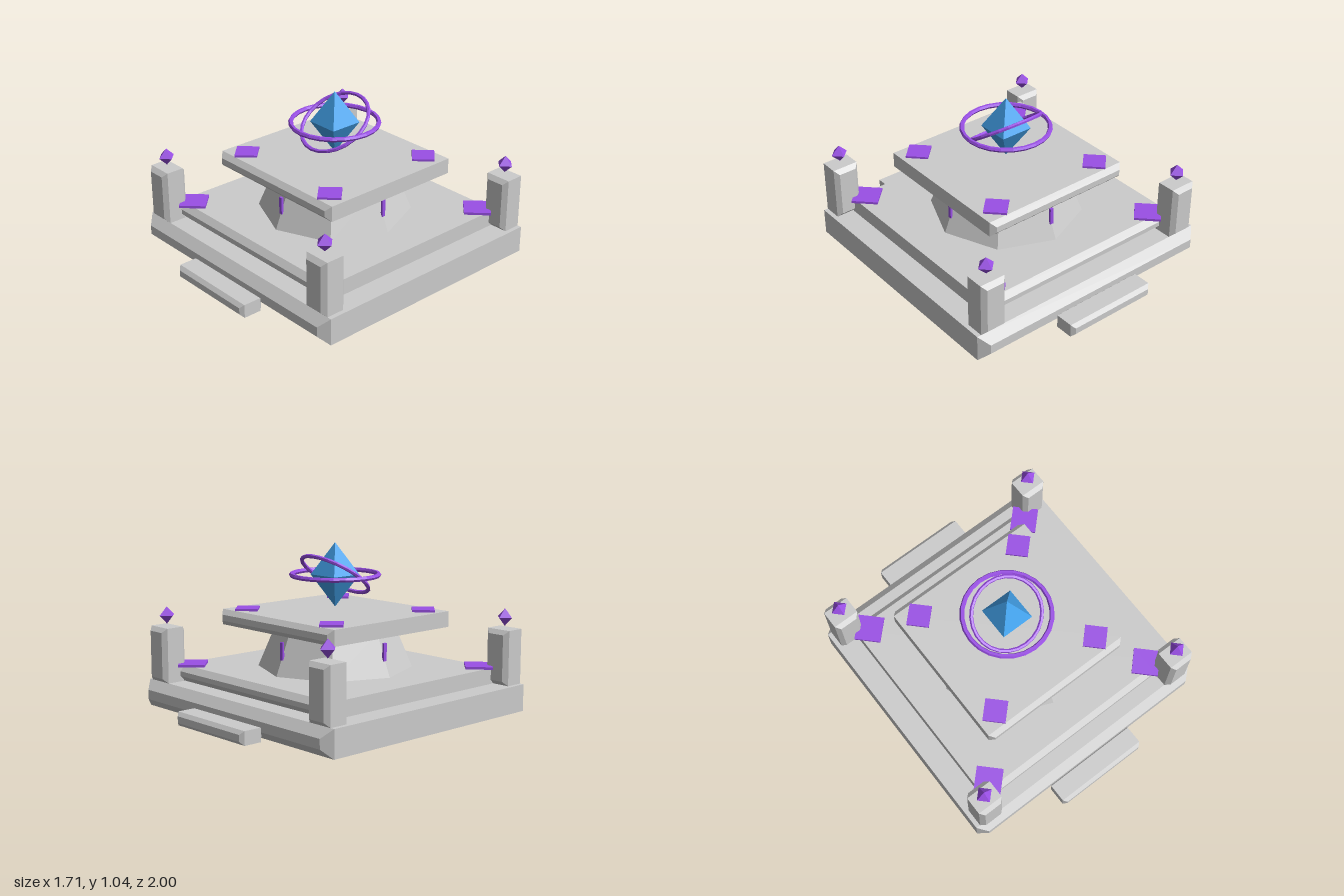
import * as THREE from 'three';

const stone = new THREE.MeshStandardMaterial({ color: 0xcccccc, flatShading: true });
const purple = new THREE.MeshStandardMaterial({ color: 0x9a4fe6, flatShading: true });
const blue = new THREE.MeshStandardMaterial({ color: 0x44a4ee, flatShading: true });

// Block bevelled around its front and back faces only, standing on its base
function bevelBlock(w, h, d, b) {
  const x = w / 2 - b;
  const shape = new THREE.Shape([
    new THREE.Vector2(-x, b), new THREE.Vector2(x, b),
    new THREE.Vector2(x, h - b), new THREE.Vector2(-x, h - b),
  ]);
  const geo = new THREE.ExtrudeGeometry(shape, {
    depth: d - 2 * b, bevelEnabled: true, bevelSegments: 1, bevelSize: b, bevelThickness: b,
  });
  return geo.translate(0, 0, b - d / 2);
}

export function createModel() {
  const model = new THREE.Group();
  model.name = 'crystalAltar';

  function add(name, geo, mat, x = 0, y = 0, z = 0) {
    const mesh = new THREE.Mesh(geo, mat);
    mesh.name = name;
    mesh.position.set(x, y, z);
    model.add(mesh);
    return mesh;
  }

  // Stepped platform
  add('basePlinth', bevelBlock(1.71, 0.17, 1.71, 0.055), stone);
  add('upperPlinth', bevelBlock(1.42, 0.1, 1.42, 0.035), stone, 0, 0.17, 0);

  // Eight-sided pedestal and altar top
  add('pedestal', new THREE.CylinderGeometry(0.37, 0.48, 0.26, 8), stone, 0, 0.4, 0);
  add('altarTop', bevelBlock(1.02, 0.098, 1.02, 0.03), stone, 0, 0.525, 0);

  // Entrance steps, front and back
  const step = bevelBlock(0.624, 0.085, 0.16, 0.022);
  for (const s of [1, -1]) add(s > 0 ? 'frontStep' : 'backStep', step, stone, 0, 0, s * 0.92);

  // Corner posts with gems, and rune tiles on both levels
  const post = bevelBlock(0.17, 0.345, 0.17, 0.027);
  const gem = new THREE.OctahedronGeometry(0.055);
  const lowerTile = new THREE.BoxGeometry(0.167, 0.016, 0.167).rotateY(Math.PI / 4);
  const upperTile = new THREE.BoxGeometry(0.139, 0.016, 0.139).rotateY(Math.PI / 4);
  for (const sx of [1, -1]) {
    for (const sz of [1, -1]) {
      const corner = (sz > 0 ? 'front' : 'back') + (sx > 0 ? 'Left' : 'Right');
      add(corner + 'Post', post, stone, sx * 0.742, 0.17, sz * 0.742);
      add(corner + 'Gem', gem, purple, sx * 0.742, 0.585, sz * 0.742);
      add(corner + 'LowerTile', lowerTile, purple, sx * 0.63, 0.277, sz * 0.63);
      add(corner + 'UpperTile', upperTile, purple, sx * 0.385, 0.628, sz * 0.385);
    }
  }

  // Upright rune strips around the pedestal
  const strip = new THREE.BoxGeometry(0.023, 0.11, 0.015);
  for (let i = 0; i < 4; i++) {
    const a = (i * Math.PI) / 2;
    add('runeStrip', strip, purple, Math.sin(a) * 0.434, 0.42, Math.cos(a) * 0.434).rotation.y = a;
  }

  // Floating crystal: stretched octahedron turned square to the altar
  const crystal = new THREE.OctahedronGeometry(1)
    .rotateY(Math.PI / 4)
    .scale(0.151, 0.2, 0.151);
  add('crystal', crystal, blue, 0, 0.845, 0);

  // Level outer ring and tilted inner ring
  add('outerRing', new THREE.TorusGeometry(0.27, 0.015, 6, 24), purple, 0, 0.845, 0)
    .rotation.x = Math.PI / 2;
  add('innerRing', new THREE.TorusGeometry(0.226, 0.0125, 6, 24), purple, 0, 0.845, 0)
    .rotation.x = Math.PI / 2 + 0.6;

  return model;
}
